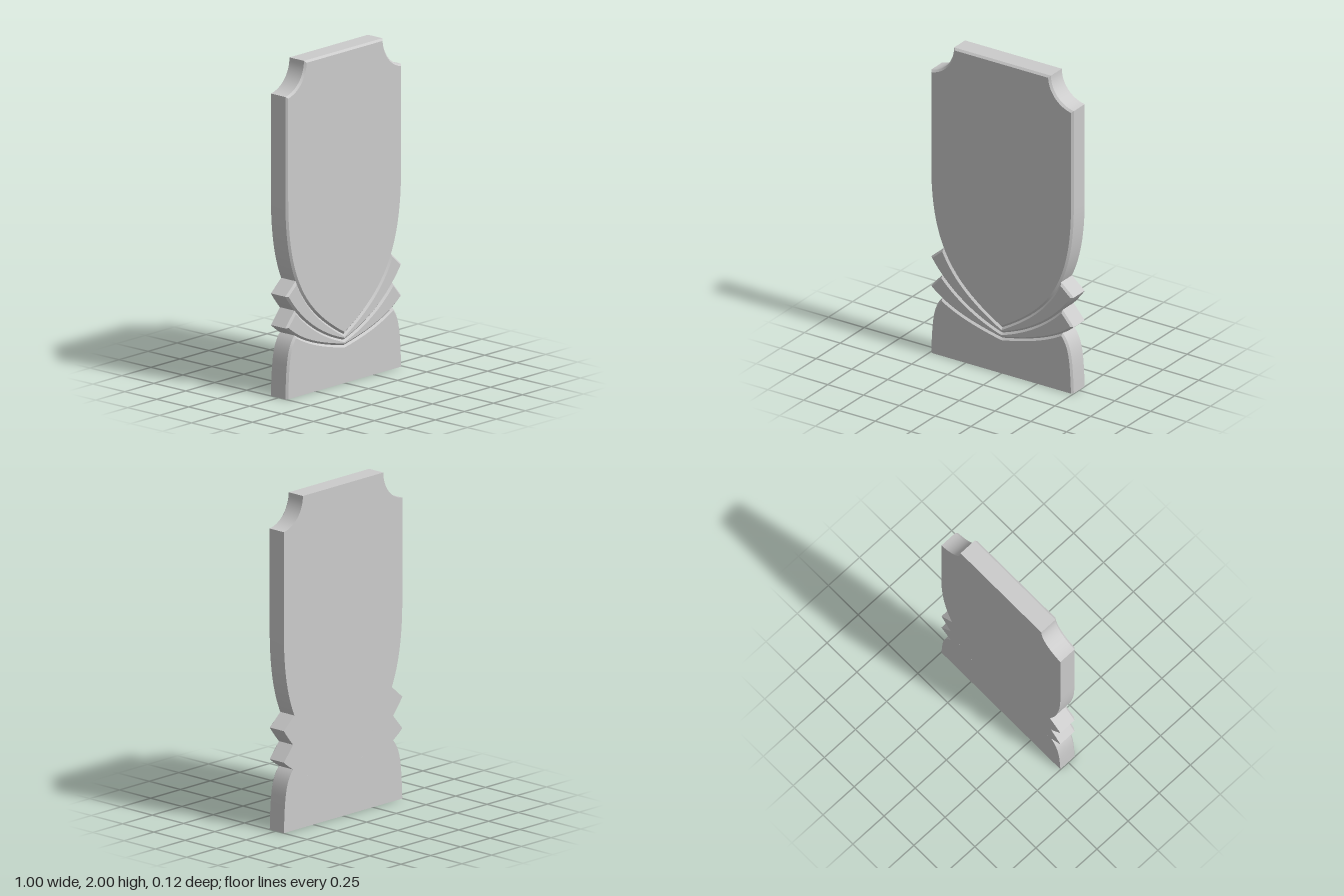
import * as THREE from 'three';
import { toCreasedNormals } from 'three/addons/utils/BufferGeometryUtils.js';

const HALF_W = 0.498, DEPTH = 0.0625, BEVEL = 0.012;
const V = (x, y) => new THREE.Vector2(x, y);

// Sample a curve from parameter a to b
function sample(curve, a, b, n) {
  return Array.from({ length: n + 1 }, (_, i) => curve.getPoint(a + (b - a) * i / n));
}

// Right half (bottom centre to top centre) mirrored to a closed outline
function mirrored(half) {
  const left = half.filter(p => p.x > 1e-6).reverse().map(p => V(-p.x, p.y));
  return [...half, ...left];
}

// Mitred inset of a counter-clockwise outline; edges on the ground stay put
function inset(pts, d) {
  const n = pts.length;
  const normal = (a, b) => V(a.y - b.y, b.x - a.x).normalize();
  return pts.map((p, i) => {
    const n1 = normal(pts[(i + n - 1) % n], p), n2 = normal(p, pts[(i + 1) % n]);
    const q = n1.clone().add(n2).multiplyScalar(d / (1 + n1.dot(n2))).add(p);
    if (p.y === 0) q.y = 0;
    return q;
  });
}

// Slab with a flat back and a chamfered front edge
function slab(name, half, material) {
  const outer = mirrored(half), inner = inset(outer, BEVEL), n = outer.length;
  const rings = [[outer, -DEPTH], [outer, DEPTH - BEVEL], [inner, DEPTH]];
  const pos = [], idx = [];
  for (const [ring, z] of rings) for (const p of ring) pos.push(p.x, p.y, z);
  for (let r = 0; r < 2; r++) {
    for (let i = 0; i < n; i++) {
      const a = r * n + i, b = r * n + (i + 1) % n;
      idx.push(a, b, b + n, a, b + n, a + n);
    }
  }
  for (const [a, b, c] of THREE.ShapeUtils.triangulateShape(outer, [])) idx.push(a, c, b);
  for (const [a, b, c] of THREE.ShapeUtils.triangulateShape(inner, [])) idx.push(a + 2 * n, b + 2 * n, c + 2 * n);
  const geo = new THREE.BufferGeometry();
  geo.setAttribute('position', new THREE.Float32BufferAttribute(pos, 3));
  geo.setIndex(idx);
  const mesh = new THREE.Mesh(toCreasedNormals(geo, Math.PI / 7), material);
  mesh.name = name;
  return mesh;
}

export function createModel() {
  const group = new THREE.Group();
  group.name = 'headstone';
  const stone = new THREE.MeshStandardMaterial({ color: 0xcccccc });

  // Seams between the layers, each running from the outer edge to the centre
  const shieldSeam = new THREE.CubicBezierCurve(V(HALF_W, 1.2), V(HALF_W, 0.68), V(0.33, 0.48), V(0, 0.292));
  const upperSeam = new THREE.CubicBezierCurve(V(HALF_W, 0.615), V(0.38, 0.44), V(0.2, 0.32), V(0, 0.258));
  const lowerSeam = new THREE.CubicBezierCurve(V(HALF_W, 0.425), V(0.38, 0.32), V(0.2, 0.265), V(0, 0.225));

  // Shield panel with scooped upper corners
  const scoop = [];
  const cx = 0.525, r = 0.187, start = Math.acos((HALF_W - cx) / r);
  for (let i = 0; i <= 14; i++) {
    const a = start + (Math.PI - start) * i / 14;
    scoop.push(V(cx + r * Math.cos(a), 2 - r * Math.sin(a)));
  }
  group.add(slab('shieldPanel', [...sample(shieldSeam, 1, 0, 32), ...scoop, V(0, 2)], stone));

  // Two layered bands with pointed ends
  group.add(slab('upperBand', [...sample(upperSeam, 1, 0, 24), ...sample(shieldSeam, 0.42, 1, 24)], stone));
  group.add(slab('lowerBand', [...sample(lowerSeam, 1, 0, 24), ...sample(upperSeam, 0.2, 1, 24)], stone));

  // Base with rounded shoulders
  const shoulderTop = lowerSeam.getPoint(0.2);
  const shoulder = new THREE.CubicBezierCurve(V(HALF_W, 0), V(0.49, 0.2), V(0.485, 0.3), shoulderTop);
  group.add(slab('base', [V(0, 0), ...sample(shoulder, 0, 1, 20), ...sample(lowerSeam, 0.2, 1, 24).slice(1)], stone));

  return group;
}
